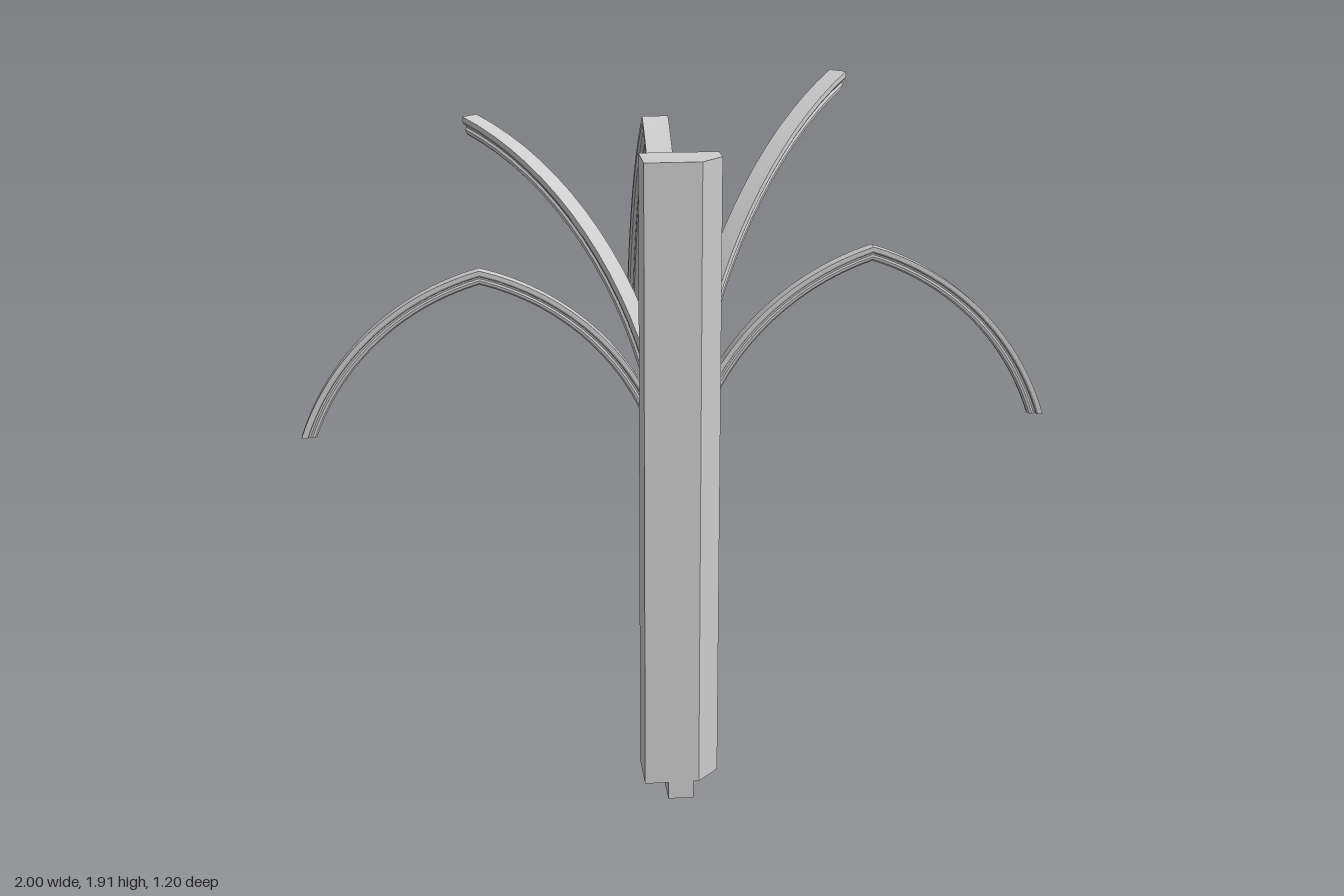
import * as THREE from 'three';
import { toCreasedNormals } from 'three/addons/utils/BufferGeometryUtils.js';

const stone = new THREE.MeshStandardMaterial({ color: 0xcccccc });
stone.name = 'pale stone';

const SPRING = 0.82; // height where the ribs leave the shaft
const FOOT = 1.05;   // height where the far half of a full arch is cut
const STEPS = 20;

// Moulded section: flat back, hollow sides, roll on the underside (u across, v depth)
const half = [[1, 0], [1, 0.28], [0.84, 0.4], [0.58, 0.44], [0.5, 0.57], [0.62, 0.7], [0.55, 0.88], [0.25, 1]];
const section = [...half, ...half.map(([u, v]) => [-u, v]).reverse()];

// A rib rising straight from the floor, then arching along dir to its crown;
// a full arch also descends on the far side.
function rib(name, { origin, dir, span, crown, width, depth, full }) {
  const rise = crown - SPRING;
  const R = (span * span + rise * rise) / (2 * span);
  const d = new THREE.Vector3(dir[0], 0, dir[1]).normalize();
  const s = new THREE.Vector3(-d.z, 0, d.x);
  const n = section.length;
  const pos = [], idx = [];

  const addRing = (place) => {
    for (const [u, v] of section) {
      const [r, y] = place(R - v * depth);
      const side = u * width / 2;
      pos.push(origin[0] + d.x * r + s.x * side, y, origin[1] + d.z * r + s.z * side);
    }
  };
  const arc = (rad, a) => [R - rad * Math.cos(a), SPRING + rad * Math.sin(a)];
  const crownAngle = (rad) => Math.acos((R - span) / rad);

  addRing((rad) => [R - rad, 0]);
  for (let i = 0; i <= STEPS; i++) addRing((rad) => arc(rad, crownAngle(rad) * i / STEPS));
  if (full) {
    for (let i = 1; i <= STEPS; i++) {
      addRing((rad) => {
        const foot = Math.asin((FOOT - SPRING) / rad);
        const [r, y] = arc(rad, THREE.MathUtils.lerp(crownAngle(rad), foot, i / STEPS));
        return [2 * span - r, y];
      });
    }
  }

  const rings = pos.length / 3 / n;
  for (let k = 0; k < rings - 1; k++) {
    for (let i = 0; i < n; i++) {
      const j = (i + 1) % n, a = k * n, b = a + n;
      idx.push(a + i, a + j, b + j, a + i, b + j, b + i);
    }
  }
  // End caps
  const contour = section.map(([u, v]) => new THREE.Vector2(u * width / 2, v * depth));
  const last = (rings - 1) * n;
  for (const [a, b, c] of THREE.ShapeUtils.triangulateShape(contour, [])) {
    idx.push(a, c, b, last + a, last + b, last + c);
  }

  const geo = new THREE.BufferGeometry();
  geo.setAttribute('position', new THREE.Float32BufferAttribute(pos, 3));
  geo.setIndex(idx);
  const mesh = new THREE.Mesh(toCreasedNormals(geo, 0.45), stone);
  mesh.name = name;
  return mesh;
}

export function createModel() {
  const model = new THREE.Group();
  model.name = 'vaultPier';

  // Wall pier with one chamfered corner, extruded upward
  const plan = new THREE.Shape([
    [-0.105, -0.6], [0.045, -0.6], [0.105, -0.535], [0.105, -0.46], [-0.105, -0.46],
  ].map(([x, y]) => new THREE.Vector2(x, y)));
  const pierGeo = new THREE.ExtrudeGeometry(plan, { depth: 1.74, bevelEnabled: false });
  pierGeo.rotateX(-Math.PI / 2);
  const pier = new THREE.Mesh(pierGeo, stone);
  pier.name = 'wallPier';
  pier.position.y = 0.05;
  model.add(pier);

  // Small block under the pier
  const block = new THREE.Mesh(new THREE.BoxGeometry(0.07, 0.05, 0.145), stone);
  block.name = 'footBlock';
  block.position.set(-0.005, 0.025, 0.5275);
  model.add(block);

  // Ribs, whose straight lower parts bundle into the shaft
  const x0 = -0.004;
  model.add(
    rib('transverseRib', { origin: [x0, 0.46], dir: [0, -1], span: 0.54, crown: 1.795, width: 0.074, depth: 0.06, full: true }),
    rib('leftDiagonalRib', { origin: [x0, 0.455], dir: [0.525, -0.54], span: 0.752, crown: 1.915, width: 0.056, depth: 0.052 }),
    rib('rightDiagonalRib', { origin: [x0, 0.455], dir: [-0.525, -0.54], span: 0.752, crown: 1.805, width: 0.056, depth: 0.052 }),
    rib('leftWallRib', { origin: [x0, 0.458], dir: [1, 0], span: 0.522, crown: 1.53, width: 0.038, depth: 0.038, full: true }),
    rib('rightWallRib', { origin: [x0, 0.458], dir: [-1, 0], span: 0.518, crown: 1.492, width: 0.038, depth: 0.038, full: true }),
  );
  return model;
}
